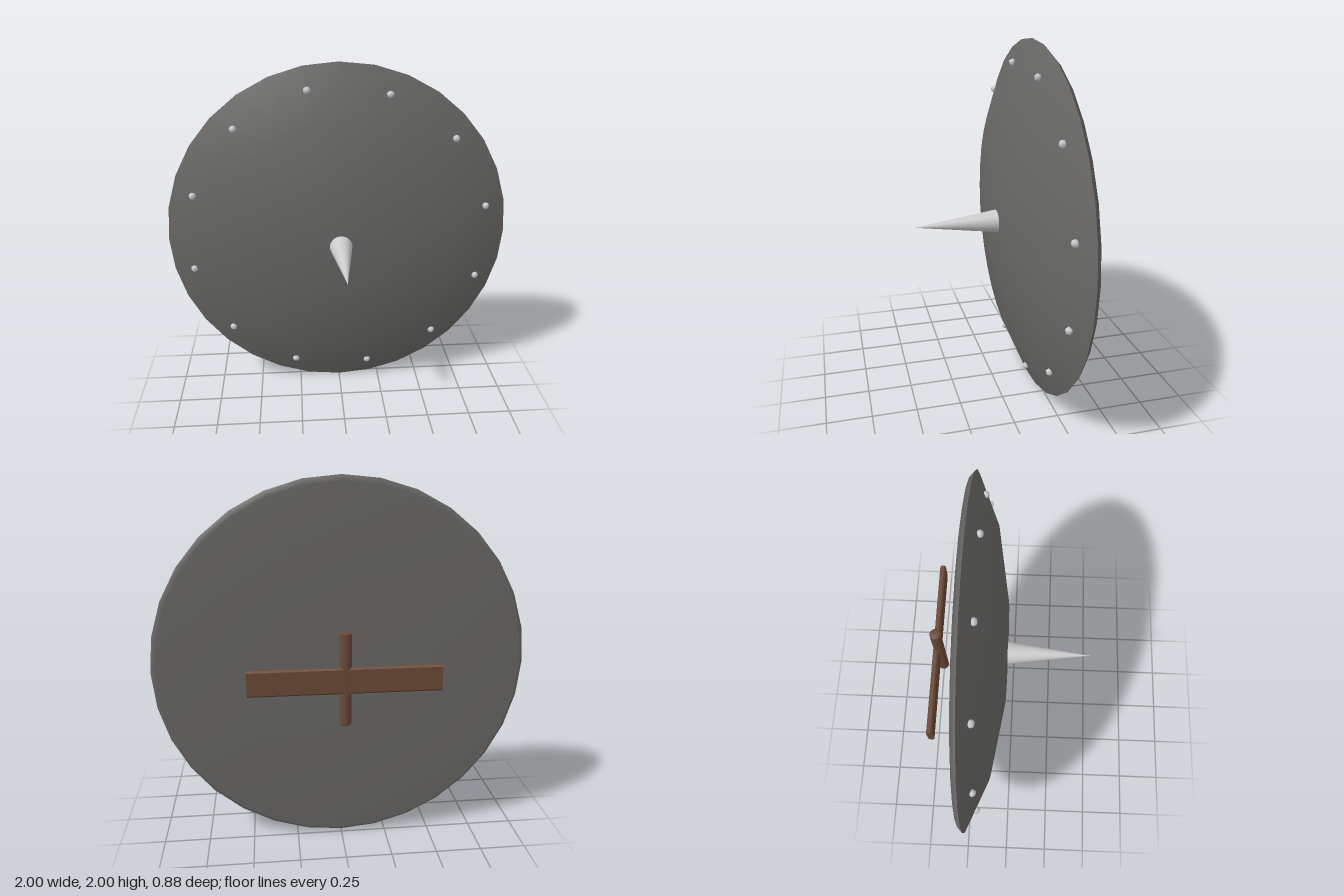
import * as THREE from 'three';

const SIDES = 32;

export function createModel() {
  const model = new THREE.Group();
  const iron = new THREE.MeshStandardMaterial({ color: 0x696866 });
  const steel = new THREE.MeshStandardMaterial({ color: 0xcccccc });
  const wood = new THREE.MeshStandardMaterial({ color: 0x6b4a38 });

  const add = (name, geometry, material, x, y, z) => {
    const mesh = new THREE.Mesh(geometry, material);
    mesh.name = name;
    mesh.position.set(x, y, z);
    model.add(mesh);
    return mesh;
  };

  // Profiles of [radius, z], ordered from back to front and turned to face +z
  const disc = (profile) => {
    const points = profile.map(([r, z]) => new THREE.Vector2(r, z));
    return new THREE.LatheGeometry(points, SIDES).rotateX(Math.PI / 2);
  };

  // Shield: domed front and nearly flat back, meeting in a sharp rim
  add('shieldFront', disc([[1, -0.22], [0.715, -0.1], [0.29, -0.03], [0, -0.025]]), iron, 0, 1, 0);
  add('shieldBack', disc([[0, -0.257], [0.41, -0.256], [0.97, -0.248], [1, -0.22]]), iron, 0, 1, 0);

  // Central spike
  const spike = new THREE.ConeGeometry(0.068, 0.49, 32).rotateX(Math.PI / 2);
  add('spike', spike, steel, 0, 1, 0.195);

  // Ring of rivets
  const rivet = new THREE.SphereGeometry(0.021, 6, 4);
  for (let i = 0; i < 12; i++) {
    const a = THREE.MathUtils.degToRad(11.5 + i * 30);
    const mesh = add('rivet', rivet, steel, 0.877 * Math.cos(a), 1 + 0.877 * Math.sin(a), -0.163);
    mesh.rotation.z = a;
  }

  // Arm strap: flat bar with chamfered long edges, extruded along x
  const h = 0.07, t = 0.016, c = 0.009;
  const section = new THREE.Shape([
    [t, -h + c], [t, h - c], [t - c, h], [-t + c, h],
    [-t, h - c], [-t, -h + c], [-t + c, -h], [t - c, -h],
  ].map(([x, y]) => new THREE.Vector2(x, y)));
  const bar = new THREE.ExtrudeGeometry(section, { depth: 1, bevelEnabled: false });
  bar.translate(0, 0, -0.5).rotateY(Math.PI / 2);
  add('armBar', bar, wood, 0, 1, -0.426);

  // Upright grip with slightly eased ends
  const grip = [[0, -0.248], [0.026, -0.248], [0.032, -0.24], [0.032, 0.24], [0.026, 0.248], [0, 0.248]];
  const gripGeometry = new THREE.LatheGeometry(grip.map(([r, y]) => new THREE.Vector2(r, y)), 10);
  add('grip', gripGeometry, wood, 0, 1.002, -0.413);

  return model;
}
